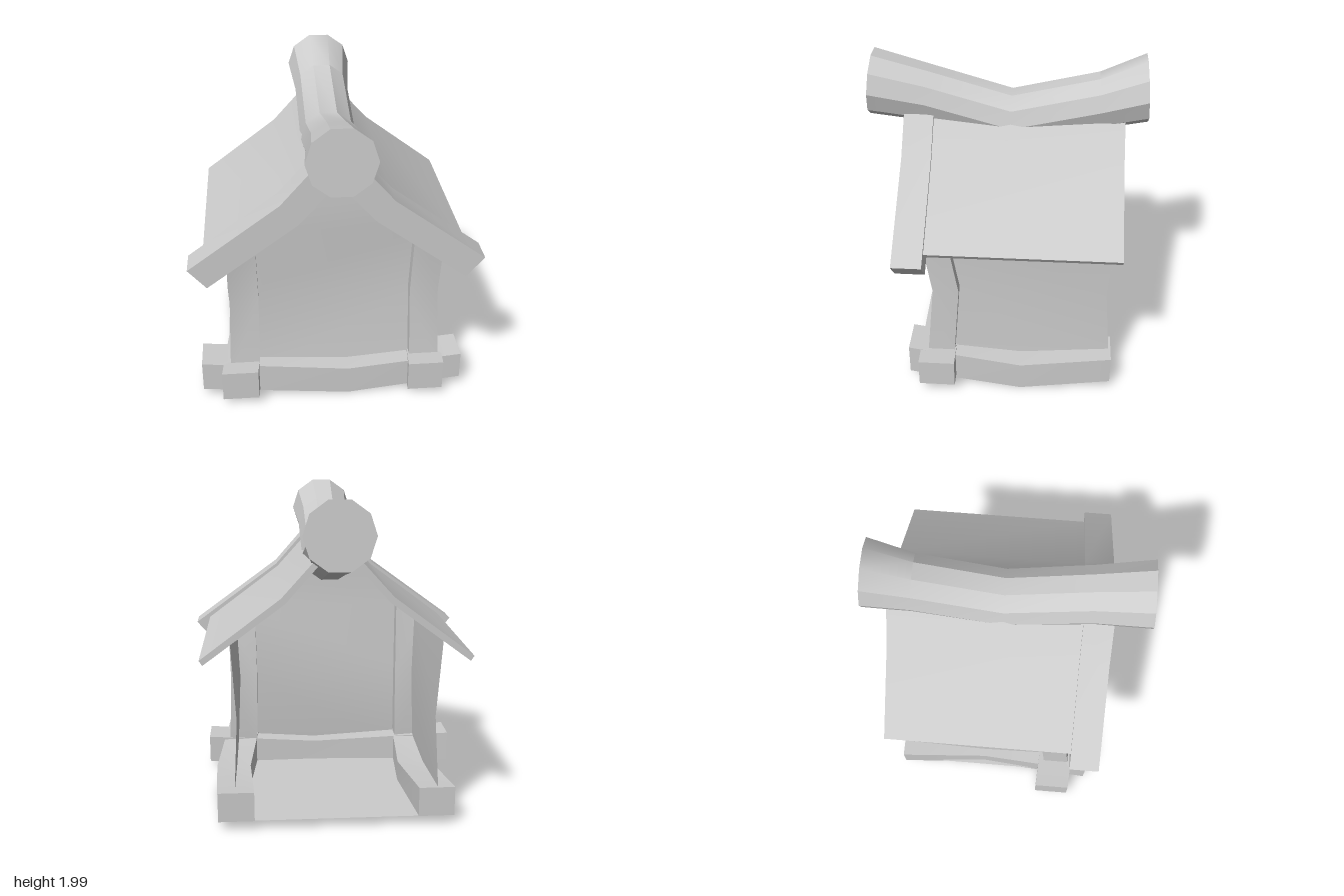
import * as THREE from 'three';
import { toCreasedNormals } from 'three/addons/utils/BufferGeometryUtils.js';

const solid = new THREE.MeshStandardMaterial({ color: 0xcccccc });
const thin = new THREE.MeshStandardMaterial({ color: 0xcccccc, side: THREE.DoubleSide });

// Skin a list of equal-length cross-sections; closed ones become capped solids.
function skin(name, sections, closed = true) {
  const n = sections[0].length;
  const pts = sections.flat().map(p => new THREE.Vector3(...p));
  const tris = [];
  for (let s = 0; s < sections.length - 1; s++) {
    for (let i = 0; i < (closed ? n : n - 1); i++) {
      const j = (i + 1) % n;
      const a = s * n + i, b = s * n + j, c = a + n, d = b + n;
      tris.push([a, b, d], [a, d, c]);
    }
  }
  if (closed) {
    const e = (sections.length - 1) * n;
    for (let i = 1; i < n - 1; i++) tris.push([0, i + 1, i], [e, e + i, e + i + 1]);
    // Turn the faces outward whichever way the sections were wound
    const cross = new THREE.Vector3();
    const volume = tris.reduce((v, [a, b, c]) => v + pts[a].dot(cross.crossVectors(pts[b], pts[c])), 0);
    if (volume < 0) tris.forEach(t => t.reverse());
  }
  let geo = new THREE.BufferGeometry().setFromPoints(pts);
  geo.setIndex(tris.flat());
  geo = toCreasedNormals(geo, 0.6);
  const mesh = new THREE.Mesh(geo, closed ? solid : thin);
  mesh.name = name;
  return mesh;
}

// Rectangular cross-sections: across x/y, across z/y, or across x/z
const rectXY = (x0, x1, y0, y1, z) => [[x0, y0, z], [x1, y0, z], [x1, y1, z], [x0, y1, z]];
const rectZY = (z0, z1, y0, y1, x) => [[x, y0, z0], [x, y0, z1], [x, y1, z1], [x, y1, z0]];

// A bent profile in x/y, pushed along z
function slab(name, profile, z0, z1, side) {
  const shape = new THREE.Shape(profile.map(([x, y]) => new THREE.Vector2(side * x, y)));
  const geo = new THREE.ExtrudeGeometry(shape, { depth: z1 - z0, bevelEnabled: false });
  geo.translate(0, 0, z0);
  const mesh = new THREE.Mesh(toCreasedNormals(geo, 0.6), solid);
  mesh.name = name;
  return mesh;
}

export function createModel() {
  const model = new THREE.Group();
  model.name = 'hut';

  // Sagging ridge log: [z, centre y, radius, tilt of the ring]
  const logRings = [
    [0.84, 1.8, 0.203, -0.08], [0.5, 1.73, 0.177, -0.06], [-0.02, 1.583, 0.175, 0],
    [-0.56, 1.71, 0.175, 0.06], [-0.837, 1.803, 0.207, 0.07],
  ].map(([z, y, r, tilt]) => Array.from({ length: 10 }, (_, i) => {
    const a = i * Math.PI / 5;
    return [r * Math.cos(a), y + r * Math.sin(a), z + r * Math.sin(a) * tilt];
  }));
  model.add(skin('ridgeLog', logRings));

  const panel = [[0.8, 1.08], [0.325, 1.435], [0.09, 1.695], [0.065, 1.67], [0.3, 1.405], [0.78, 1.05]];
  const trim = [[0.89, 1.045], [0.335, 1.45], [0.15, 1.66], [0.015, 1.555], [0.23, 1.32], [0.78, 0.92]];
  for (const side of [1, -1]) {
    const label = side > 0 ? 'left' : 'right';

    // Roof
    model.add(slab(label + 'RoofPanel', panel, -0.71, 0.45, side));
    model.add(slab(label + 'RoofTrim', trim, 0.45, 0.63, side));

    // Corner post, pinched in the middle, with a top cut to the roof slope
    // [inner x, inner y, outer x, outer y, back z, front z]
    const post = [
      [0.49, 0.12, 0.68, 0.12, 0.315, 0.485],
      [0.48, 0.7, 0.66, 0.7, 0.27, 0.43],
      [0.49, 1.265, 0.672, 1.13, 0.335, 0.49],
    ].map(([xi, yi, xo, yo, zb, zf]) => [
      [side * xi, yi, zb], [side * xo, yo, zb], [side * xo, yo, zf], [side * xi, yi, zf],
    ]);
    model.add(skin(label + 'FrontPost', post));

    // Side wall: [y, x, back z, front z]
    const wall = [[0.07, 0.625, -0.69, 0.42], [0.69, 0.595, -0.64, 0.36], [1.165, 0.62, -0.685, 0.41]]
      .map(([y, x, zb, zf]) => [[side * x, y, zb], [side * x, y, zf]]);
    model.add(skin(label + 'Wall', wall, false));
  }

  // Gable wall: [y, half width, z]
  const gable = [[0.07, 0.62, 0.43], [0.7, 0.595, 0.36], [1.165, 0.62, 0.41], [1.4, 0.305, 0.41], [1.66, 0.07, 0.41]]
    .map(([y, w, z]) => [[-w, y, z], [w, y, z]]);
  model.add(skin('frontWall', gable, false));

  // Sagging base rails, crossing at the front corners
  model.add(skin('frontRail', [
    rectZY(0.26, 0.485, 0.05, 0.25, -0.86),
    rectZY(0.31, 0.54, 0.005, 0.195, 0.08),
    rectZY(0.295, 0.52, 0.07, 0.25, 0.82),
  ]));
  model.add(skin('leftRail', [
    rectXY(0.465, 0.69, 0.05, 0.25, 0.6),
    rectXY(0.53, 0.75, 0.005, 0.195, -0.12),
    rectXY(0.5, 0.72, 0.065, 0.25, -0.69),
  ]));
  model.add(skin('rightRail', [
    rectXY(-0.73, -0.5, 0.05, 0.25, 0.6),
    rectXY(-0.67, -0.45, 0.005, 0.195, -0.12),
    rectXY(-0.72, -0.5, 0.065, 0.25, -0.69),
  ]));

  // Floor
  model.add(skin('floor', [
    [[-0.7, 0.068, -0.69], [0.7, 0.068, -0.69]],
    [[-0.7, 0.06, 0.45], [0.7, 0.06, 0.45]],
  ], false));

  return model;
}
